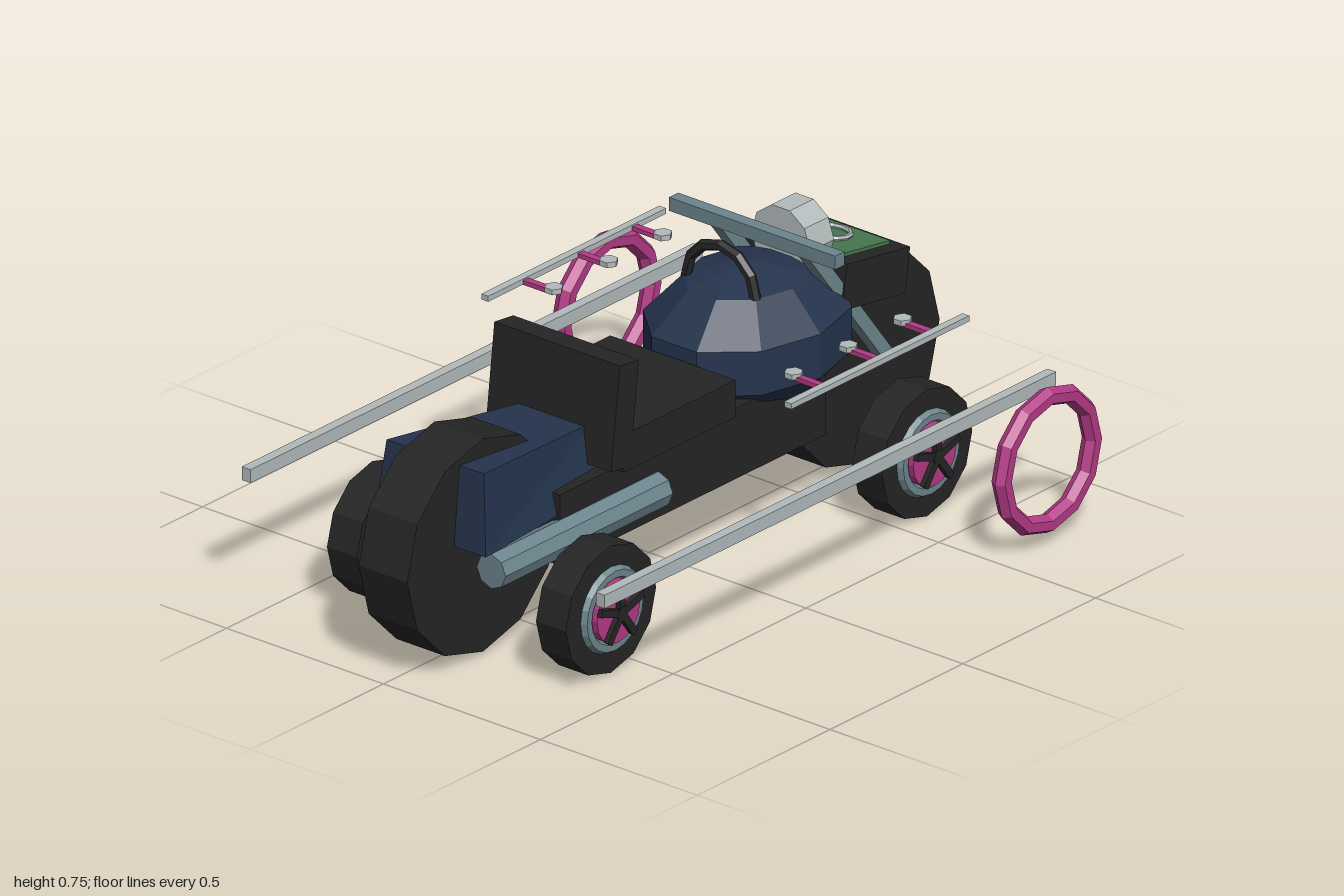
import * as THREE from 'three';

const mat = (name, color) => {
  const m = new THREE.MeshStandardMaterial({ color, flatShading: true });
  m.name = name;
  return m;
};

export function createModel() {
  const root = new THREE.Group();
  root.name = 'motorbike';
  const black = mat('black', 0x252525);
  const navy = mat('navy', 0x25344d);
  const steel = mat('blue grey', 0x6c858c);
  const silver = mat('silver', 0xb2babb);
  const pink = mat('magenta', 0xb23a85);
  const green = mat('green', 0x47784f);

  const add = (name, geo, material, pos = [0, 0, 0], parent = root) => {
    const mesh = new THREE.Mesh(geo, material);
    mesh.name = name;
    mesh.position.set(...pos);
    parent.add(mesh);
    return mesh;
  };
  const box = (name, size, pos, material, parent) =>
    add(name, new THREE.BoxGeometry(...size), material, pos, parent);
  // Cylinder lying along x, with a corner at the top
  const disc = (name, r, width, sides, pos, material, parent) =>
    add(name, new THREE.CylinderGeometry(r, r, width, sides).rotateZ(Math.PI / 2), material, pos, parent);
  // Square bar between two points
  const bar = (name, a, b, t, material) => {
    const p = new THREE.Vector3(...a), q = new THREE.Vector3(...b);
    const mesh = box(name, [t, t, p.distanceTo(q)], p.clone().add(q).multiplyScalar(0.5).toArray(), material);
    mesh.lookAt(q);
    return mesh;
  };

  // Main wheels
  disc('rearWheel', 0.285, 0.155, 12, [0, 0.295, 0.717], black);
  disc('frontWheel', 0.285, 0.155, 12, [0, 0.295, -0.717], black);

  // Frame, seat and tilted backrest
  box('chassis', [0.33, 0.19, 1.0], [0, 0.295, 0.03], black);
  box('seat', [0.4, 0.1, 0.42], [0, 0.44, 0.12], black);
  const back = new THREE.Group();
  back.name = 'backrest';
  back.position.set(0, 0.54, 0.327);
  back.rotation.x = -0.12;
  root.add(back);
  box('backrestShell', [0.4, 0.275, 0.072], [0, 0, 0], black, back);
  box('backrestPad', [0.3, 0.2, 0.02], [0, 0.015, -0.045], navy, back);

  // Tail: a box narrowed towards the seat and towards the top
  const tailGeo = new THREE.BoxGeometry(1, 1, 1);
  const p = tailGeo.attributes.position;
  for (let i = 0; i < p.count; i++) {
    const top = p.getY(i) > 0, rear = p.getZ(i) > 0;
    const half = rear ? (top ? 0.155 : 0.178) : (top ? 0.1 : 0.14);
    const y = top ? (rear ? 0.54 : 0.495) : 0.33;
    const z = rear ? (top ? 0.805 : 0.825) : 0.33;
    p.setXYZ(i, Math.sign(p.getX(i)) * half, y, z);
  }
  tailGeo.computeVertexNormals();
  add('tail', tailGeo, navy);

  // Tank with a carrying arch
  add('tank', new THREE.SphereGeometry(1, 10, 5).scale(0.245, 0.19, 0.305), navy, [0, 0.465, -0.37]);
  add('tankArch', new THREE.TorusGeometry(0.11, 0.015, 6, 6, Math.PI), black, [0, 0.618, -0.27]);

  // Handlebar, console and round gauge
  box('handlebar', [0.53, 0.036, 0.035], [0, 0.718, -0.405], steel);
  const console_ = new THREE.Group();
  console_.name = 'console';
  console_.position.set(0, 0.548, -0.663);
  console_.rotation.x = -0.15;
  root.add(console_);
  box('consoleBox', [0.325, 0.12, 0.24], [0, 0, 0], black, console_);
  box('consolePanel', [0.24, 0.009, 0.175], [0, 0.0645, -0.005], green, console_);
  const dial = add('consoleDial', new THREE.TorusGeometry(0.053, 0.007, 6, 12), silver, [0, 0.074, -0.005], console_);
  dial.rotation.x = Math.PI / 2;
  const gauge = add('gauge', new THREE.CylinderGeometry(0.094, 0.094, 0.09, 10), silver, [0, 0.66, -0.54]);
  gauge.rotation.set(Math.PI / 2, Math.PI / 2, 0, 'ZXY');
  gauge.geometry.rotateY(Math.PI / 2);
  gauge.geometry.rotateX(Math.PI / 2);
  gauge.rotation.set(0, 0, 0);

  // Mirrored parts on both sides
  for (const s of [1, -1]) {
    const side = s > 0 ? 'left' : 'right';
    bar(side + 'Fork', [s * 0.14, 0.71, -0.42], [s * 0.14, 0.32, -0.72], 0.036, steel);

    const pipe = add(side + 'Exhaust', new THREE.CylinderGeometry(0.046, 0.046, 0.63, 8), steel, [s * 0.17, 0.28, 0.48]);
    pipe.rotation.x = Math.PI / 2;

    // Small support wheels with rim and five spokes
    for (const z of [0.593, -0.597]) {
      const w = new THREE.Group();
      w.name = side + (z > 0 ? 'RearSupportWheel' : 'FrontSupportWheel');
      w.position.set(0, 0.17, z);
      root.add(w);
      disc('tire', 0.17, 0.095, 12, [s * 0.333, 0, 0], black, w);
      const rim = add('rim', new THREE.TorusGeometry(0.097, 0.018, 6, 20), steel, [s * 0.379, 0, 0], w);
      rim.rotation.y = Math.PI / 2;
      disc('hubDisc', 0.081, 0.03, 16, [s * 0.39, 0, 0], pink, w);
      disc('hubCap', 0.02, 0.016, 8, [s * 0.412, 0, 0], black, w);
      for (let i = 0; i < 5; i++) {
        const a = i * Math.PI * 2 / 5;
        const spoke = box('spoke', [0.014, 0.083, 0.02],
          [s * 0.412, 0.0415 * Math.cos(a), 0.0415 * Math.sin(a)], black, w);
        spoke.rotation.x = a;
      }
    }

    // Long side rail and free-standing ring
    box(side + 'Rail', [0.028, 0.036, 1.7], [s * 0.564, 0.339, 0], silver);
    const ring = add(side + 'Ring', new THREE.TorusGeometry(0.17, 0.025, 6, 12), pink, [s * 0.702, 0.222, -0.668]);
    ring.rotation.y = Math.PI / 2;

    // Thin upper rail with three pegs
    box(side + 'UpperRail', [0.022, 0.015, 0.67], [s * 0.483, 0.555, -0.287], silver);
    for (const z of [-0.503, -0.299, -0.093]) {
      box(side + 'PegArm', [0.095, 0.012, 0.02], [s * 0.428, 0.553, z], pink);
      add(side + 'PegKnob', new THREE.CylinderGeometry(0.024, 0.024, 0.014, 6).rotateY(Math.PI / 2),
        silver, [s * 0.382, 0.56, z]);
    }
  }
  return root;
}
